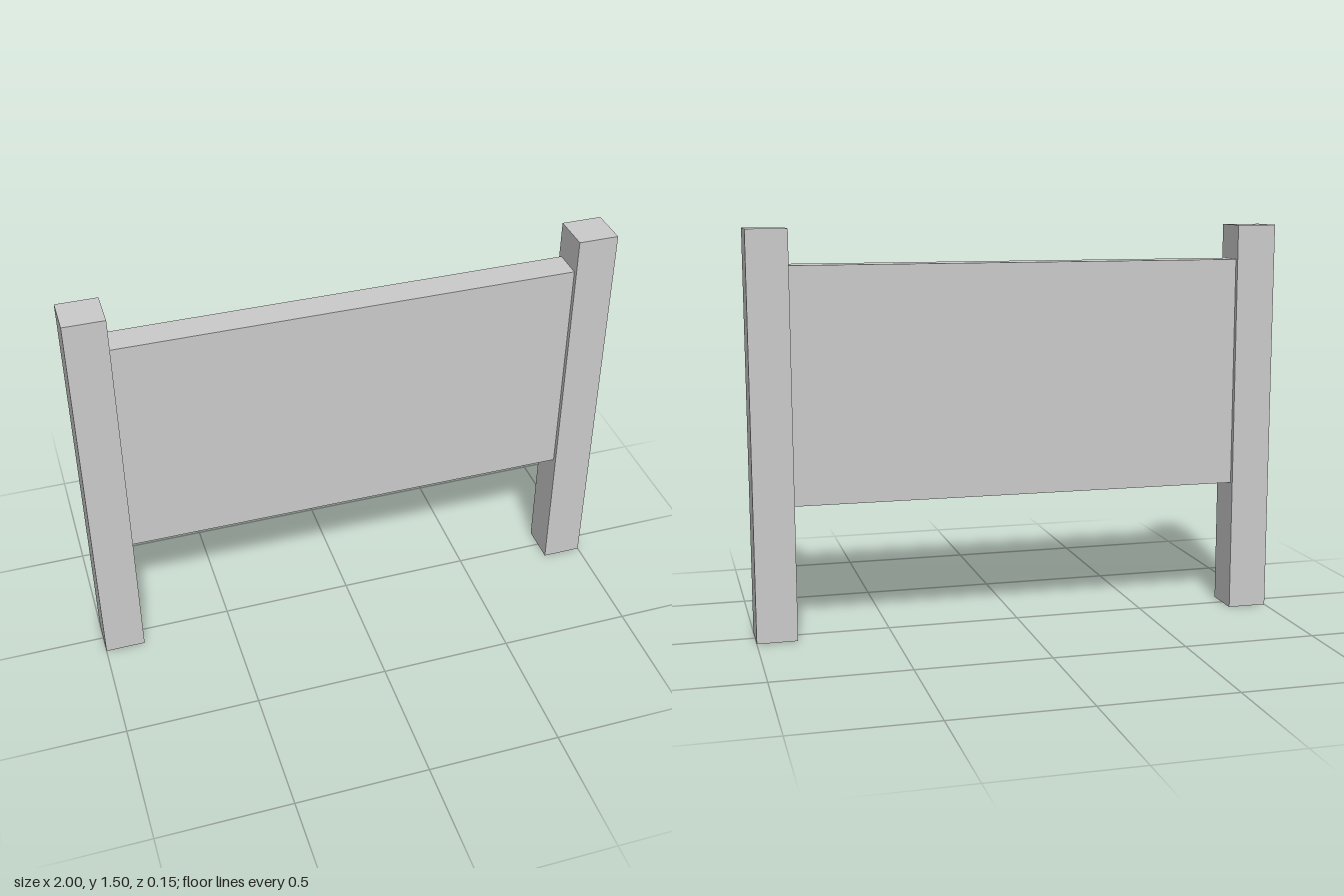
import * as THREE from 'three';

const POST = 0.15, HEIGHT = 1.5;
const PANEL_BOTTOM = 0.5, PANEL_TOP = 1.37, PANEL_DEPTH = 0.115;

export function createModel() {
  const group = new THREE.Group();
  group.name = 'signBoard';
  const material = new THREE.MeshStandardMaterial({ color: 0xcccccc, flatShading: true });

  const addBox = (name, width, height, depth, x, bottom) => {
    const mesh = new THREE.Mesh(new THREE.BoxGeometry(width, height, depth), material);
    mesh.name = name;
    mesh.position.set(x, bottom + height / 2, 0);
    group.add(mesh);
  };

  // Square posts at both ends
  for (const [name, side] of [['leftPost', 1], ['rightPost', -1]]) {
    addBox(name, POST, HEIGHT, POST, side * (1 - POST / 2), 0);
  }

  // Board held between the posts
  addBox('panel', 2 - 2 * POST, PANEL_TOP - PANEL_BOTTOM, PANEL_DEPTH, 0, PANEL_BOTTOM);

  return group;
}
